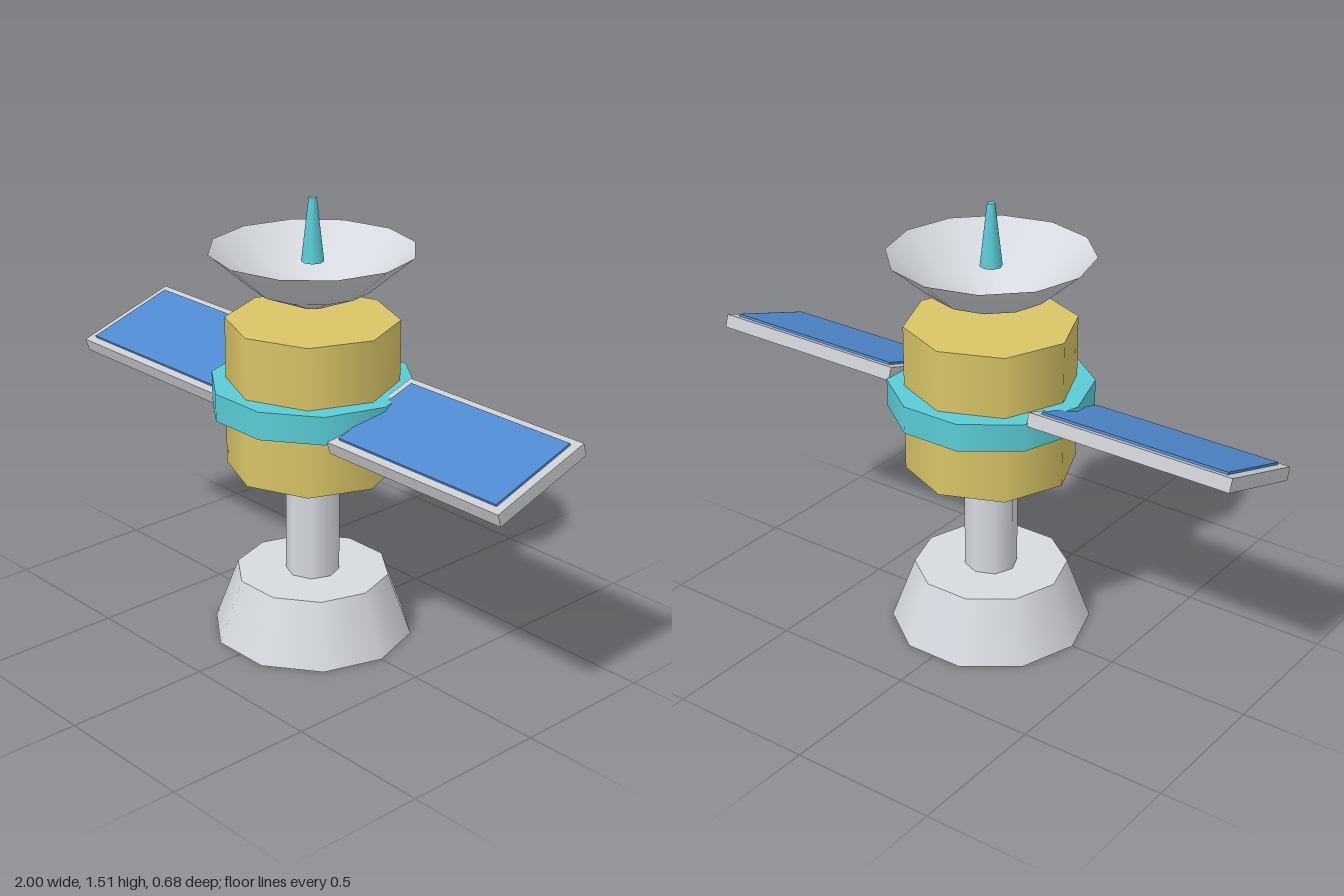
import * as THREE from 'three';

const material = (name, color, side = THREE.FrontSide) => {
  const m = new THREE.MeshStandardMaterial({ color, side });
  m.name = name;
  return m;
};

export function createModel() {
  const model = new THREE.Group();
  model.name = 'satellite';

  const shell = material('pale grey shell', 0xd6d9df, THREE.DoubleSide);
  const frame = material('panel grey', 0xcacbce);
  const gold = material('gold body', 0xd8c466);
  const teal = material('teal trim', 0x5accd6);
  const blue = material('solar blue', 0x4f88cf);

  const add = (name, geometry, mat, parent = model) => {
    const mesh = new THREE.Mesh(geometry, mat);
    mesh.name = name;
    parent.add(mesh);
    return mesh;
  };

  // Upright prism between two heights, with a corner on the x axis
  const drum = (name, rBottom, rTop, y0, y1, sides, mat, open = false) => {
    const g = new THREE.CylinderGeometry(rTop, rBottom, y1 - y0, sides, 1, open, Math.PI / 2);
    g.translate(0, (y0 + y1) / 2, 0);
    return add(name, g, mat);
  };

  // Hollow base, open underneath, with a flat top
  drum('base', 0.34, 0.26, 0, 0.215, 10, shell, true);
  const lid = new THREE.CircleGeometry(0.26, 10);
  lid.rotateX(-Math.PI / 2).translate(0, 0.215, 0);
  add('baseTop', lid, shell);

  // Open tube column, reaching a little way into the base
  drum('column', 0.09, 0.09, 0.18, 0.61, 8, shell, true);

  // Body and the band around it
  drum('body', 0.285, 0.285, 0.6, 1.107, 8, gold);
  drum('band', 0.34, 0.34, 0.806, 0.9, 10, teal);

  // Dish: thin bowl with a small flat bottom
  const profile = [[0.045, 1.153], [0.195, 1.217], [0.338, 1.342]];
  const bowl = new THREE.LatheGeometry(
    profile.map(([r, y]) => new THREE.Vector2(r, y)), 12, Math.PI / 2);
  add('dish', bowl, shell);
  const bottom = new THREE.CircleGeometry(0.045, 12);
  bottom.rotateX(-Math.PI / 2).translate(0, 1.153, 0);
  add('dishBottom', bottom, shell);

  // Antenna above the dish
  drum('antenna', 0.037, 0.013, 1.3, 1.51, 8, teal);

  // Tilted solar panels, one on each side
  for (const [name, s] of [['left', 1], ['right', -1]]) {
    const panel = new THREE.Group();
    panel.name = name + 'SolarPanel';
    panel.position.set(s * 0.6375, 0.853, 0);
    panel.rotation.x = THREE.MathUtils.degToRad(18);
    add(name + 'PanelFrame', new THREE.BoxGeometry(0.725, 0.045, 0.385), frame, panel);
    add(name + 'PanelCells', new THREE.BoxGeometry(0.665, 0.008, 0.331), blue, panel)
      .position.y = 0.0265;
    model.add(panel);
  }

  return model;
}
